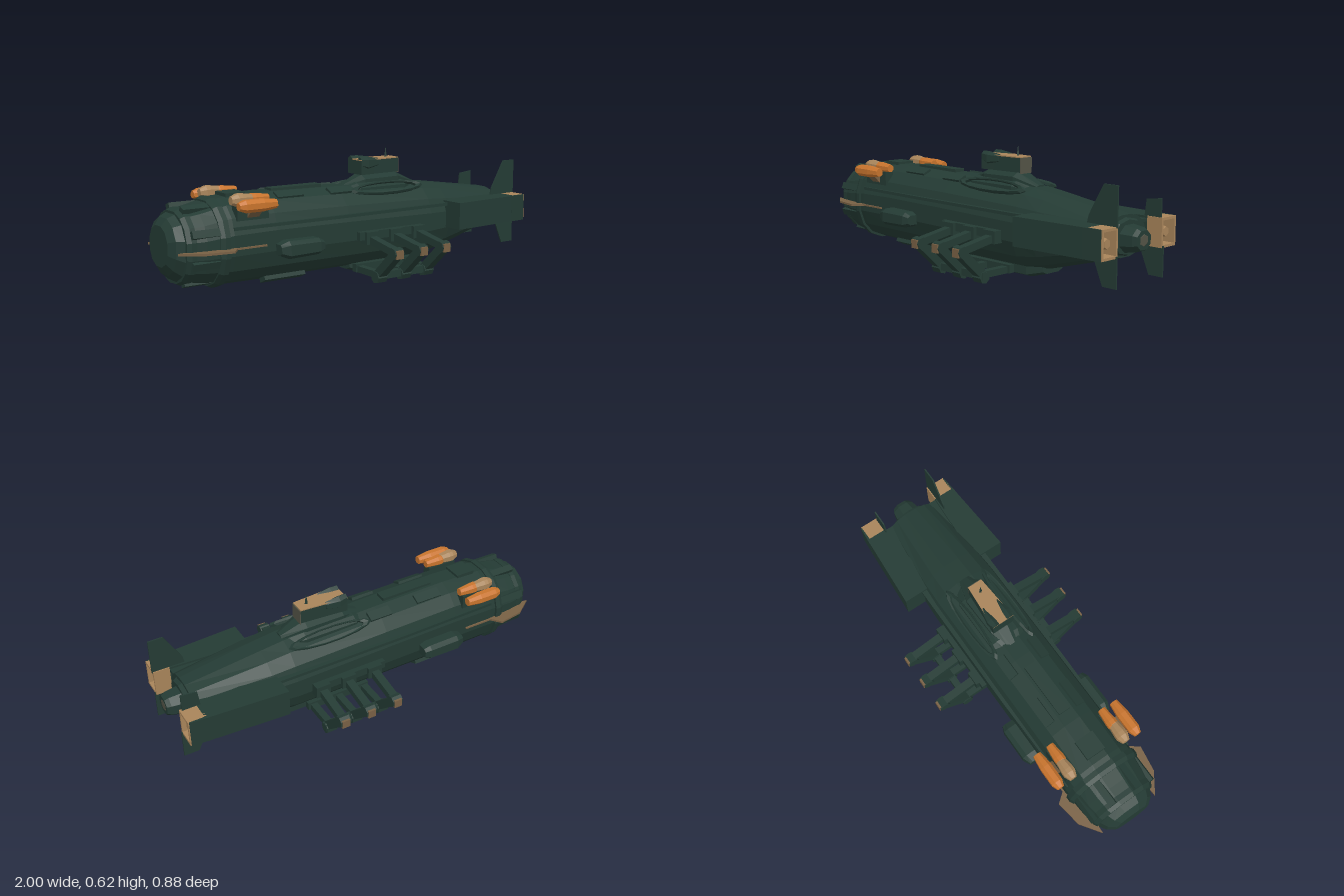
import * as THREE from 'three';

export function createModel() {
  const model = new THREE.Group();
  const mat = (name, color) => Object.assign(
    new THREE.MeshStandardMaterial({ color, flatShading: true, side: THREE.DoubleSide }), { name });
  const green = mat('dark green', 0x243b34);
  const tan = mat('tan', 0xa8845a);
  const brown = mat('brown', 0x786044);
  const orange = mat('orange', 0xc8742d);
  const grey = mat('olive grey', 0x535346);

  const add = (name, geometry, material, x = 0, y = 0, z = 0) => {
    const m = new THREE.Mesh(geometry, material);
    m.name = name;
    m.position.set(x, y, z);
    model.add(m);
    return m;
  };
  const box = (name, material, w, h, d, x, y, z) => add(name, new THREE.BoxGeometry(w, h, d), material, x, y, z);

  // Skin through cross-sections [x, bottom, top, half width, z centre]
  const loft = (sections, n = 16, power = 0.9) => {
    const pos = [], index = [];
    const soft = v => Math.sign(v) * Math.abs(v) ** power;
    for (const [x, lo, hi, w, cz = 0] of sections)
      for (let j = 0; j < n; j++) {
        const a = (j + 0.5) / n * Math.PI * 2;
        pos.push(x, (lo + hi) / 2 + soft(Math.sin(a)) * (hi - lo) / 2, cz + soft(Math.cos(a)) * w);
      }
    const last = sections.length - 1;
    for (let i = 0; i < last; i++)
      for (let j = 0; j < n; j++) {
        const k = (j + 1) % n, a = i * n, b = a + n;
        index.push(a + j, b + j, a + k, b + j, b + k, a + k);
      }
    for (let j = 1; j < n - 1; j++) {
      const e = last * n;
      index.push(0, j, j + 1, e, e + j + 1, e + j);
    }
    const g = new THREE.BufferGeometry();
    g.setAttribute('position', new THREE.Float32BufferAttribute(pos, 3));
    g.setIndex(index);
    const flat = g.toNonIndexed();
    flat.computeVertexNormals();
    return flat;
  };

  // Outline in x,z raised from y0 to y1
  const plan = (points, y0, y1) => {
    const shape = new THREE.Shape(points.map(([x, z]) => new THREE.Vector2(x, -z)));
    return new THREE.ExtrudeGeometry(shape, { depth: y1 - y0, bevelEnabled: false })
      .rotateX(-Math.PI / 2).translate(0, y0, 0);
  };
  // Outline in x,y with thickness in z
  const plate = (points, t) => new THREE.ExtrudeGeometry(
    new THREE.Shape(points.map(p => new THREE.Vector2(...p))), { depth: t, bevelEnabled: false }).translate(0, 0, -t / 2);
  // Square bar between two points
  const beam = (name, material, a, b, w, h) => {
    const p = new THREE.Vector3(...a), q = new THREE.Vector3(...b);
    const m = add(name, new THREE.BoxGeometry(w, h, p.distanceTo(q)), material);
    m.position.copy(p).add(q).multiplyScalar(0.5);
    m.lookAt(q);
    return m;
  };

  // Hull with blunt nose and flattened tail
  add('hull', loft([
    [-0.93, 0.08, 0.41, 0.165], [-0.85, 0.065, 0.425, 0.18], [-0.72, 0.05, 0.455, 0.19], [-0.5, 0.047, 0.462, 0.19],
    [-0.1, 0.047, 0.455, 0.19], [0.4, 0.05, 0.44, 0.19], [0.52, 0.072, 0.425, 0.185], [0.9, 0.18, 0.37, 0.14],
  ]), green);
  add('nose', loft([[-1, 0.16, 0.35, 0.095], [-0.975, 0.12, 0.385, 0.13], [-0.93, 0.08, 0.405, 0.155], [-0.9, 0.08, 0.41, 0.16]], 12), green);
  for (const [x, lo, hi, w] of [[-0.92, 0.07, 0.42, 0.172], [-0.77, 0.04, 0.457, 0.2]])
    add('noseRing', loft([[x - 0.02, lo + 0.01, hi - 0.01, w - 0.01], [x, lo, hi, w], [x + 0.025, lo, hi, w]]), green);
  for (let i = 0; i < 8; i++) {
    const a = (i + 0.5) / 8 * Math.PI * 2;
    const y = 0.25 + Math.sin(a) * 0.18, z = Math.cos(a) * 0.18;
    box('noseRib', green, 0.14, 0.025, 0.035, -0.85, y, z).rotation.x = Math.PI / 2 - a;
  }

  // Tail nozzle
  add('tailCollar', loft([[0.88, 0.18, 0.365, 0.13], [0.92, 0.195, 0.35, 0.1]], 10), green);
  add('tailNozzle', loft([[0.9, 0.2, 0.335, 0.075], [0.98, 0.215, 0.325, 0.06], [1, 0.225, 0.315, 0.05]], 8), green);
  add('nozzleCore', loft([[0.995, 0.235, 0.305, 0.035], [1, 0.245, 0.295, 0.028]], 6), grey).position.x = 0.001;

  // Deck plates
  box('deckPlate', green, 0.28, 0.018, 0.06, -0.3, 0.459, 0);
  box('deckPlate', green, 0.1, 0.02, 0.1, -0.64, 0.458, 0);

  // Sail with stepped base
  add('sailSkirt', loft([[-0.06, 0.38, 0.43, 0.05], [0.03, 0.38, 0.465, 0.1], [0.3, 0.38, 0.465, 0.1], [0.43, 0.38, 0.425, 0.04]], 10), green);
  add('sail', loft([[-0.02, 0.42, 0.45, 0.03], [0.08, 0.42, 0.495, 0.065], [0.28, 0.42, 0.5, 0.07], [0.4, 0.42, 0.445, 0.03]], 8), green);
  box('sailNeck', green, 0.17, 0.04, 0.06, 0.2, 0.505, 0);
  const bridge = [[0.06, -0.058], [0.14, -0.05], [0.3, -0.038], [0.3, 0.038], [0.14, 0.05], [0.06, 0.058]];
  add('bridge', plan(bridge, 0.495, 0.564), green);
  add('bridgeRoof', plan(bridge, 0.564, 0.569), tan);
  box('bridgeRearFace', grey, 0.005, 0.075, 0.075, 0.302, 0.527, 0);
  add('antenna', new THREE.ConeGeometry(0.009, 0.06, 4), green, 0.25, 0.594, 0);

  for (const s of [1, -1]) {
    // Sail side details
    add('bridgeLobe', loft([[0.06, 0.53, 0.582, 0.02, s * 0.04], [0.1, 0.515, 0.582, 0.025, s * 0.042], [0.17, 0.53, 0.572, 0.012, s * 0.04]], 6), green);
    const ring = add('sailWalkway', new THREE.TorusGeometry(0.1, 0.012, 5, 14), green, 0.18, 0.428, s * 0.105);
    ring.rotation.x = Math.PI / 2 + s * 0.7;
    ring.scale.set(2, 0.35, 1);

    // Long side ledge and lower chine
    add('sideLedge', plan([[-0.72, s * 0.15], [-0.72, s * 0.182], [-0.2, s * 0.192], [0.5, s * 0.192], [0.9, s * 0.16], [0.9, s * 0.1], [0.5, s * 0.13]], 0.32, 0.335), green);
    box('sideTrim', brown, 0.2, 0.008, 0.01, -0.66, 0.24, s * 0.19);

    // Nose blade
    add('noseBlade', plan([[-0.98, s * 0.155], [-0.88, s * 0.225], [-0.75, s * 0.245], [-0.7, s * 0.18], [-0.9, s * 0.15]], 0.235, 0.245), brown);

    // Twin shoulder launchers
    const tube = z => (x0, x1, y, r) => loft([
      [x0, y - r * 0.6, y + r * 0.6, r * 0.6, s * z], [x0 + 0.03, y - r, y + r, r, s * z],
      [x1 - 0.07, y - r, y + r, r, s * z], [x1, y - r * 0.7, y + r * 0.7, r * 0.7, s * z]], 8);
    add('outerLauncher', tube(0.222)(-0.72, -0.53, 0.432, 0.03), orange);
    add('innerLauncher', tube(0.152)(-0.72, -0.6, 0.45, 0.032), tan);
    add('innerLauncherTip', tube(0.15)(-0.65, -0.53, 0.448, 0.028), orange);
    beam('launcherArm', brown, [-0.62, 0.37, s * 0.155], [-0.62, 0.432, s * 0.222], 0.06, 0.025);
    box('launcherBase', green, 0.16, 0.07, 0.05, -0.62, 0.395, s * 0.15);

    // Side blister and hull panels
    add('sideBlister', loft([[-0.51, 0.19, 0.24, 0.035, s * 0.205], [-0.47, 0.17, 0.257, 0.052, s * 0.205],
      [-0.31, 0.175, 0.255, 0.052, s * 0.205], [-0.28, 0.19, 0.24, 0.04, s * 0.205]], 8, 0.6), green);
    box('shoulderPanel', green, 0.14, 0.02, 0.05, -0.38, 0.44, s * 0.085).rotation.x = s * 0.45;
    box('shoulderPanel', green, 0.12, 0.02, 0.05, -0.1, 0.435, s * 0.09).rotation.x = s * 0.45;
    box('bellyStrip', green, 0.22, 0.03, 0.05, -0.42, 0.063, s * 0.09).rotation.x = -s * 0.45;

    // Tail engine pod with framed opening
    add('enginePod', plan([[0.5, s * 0.13], [0.5, s * 0.288], [0.9, s * 0.262], [0.9, s * 0.15]], 0.21, 0.345), green);
    add('podOuterRim', plan([[0.88, s * 0.25], [0.88, s * 0.264], [0.975, s * 0.256], [0.975, s * 0.25]], 0.21, 0.345), green);
    const frame = new THREE.Shape([[-0.051, -0.067], [0.051, -0.067], [0.051, 0.067], [-0.051, 0.067]].map(p => new THREE.Vector2(...p)));
    frame.holes.push(new THREE.Path([[-0.04, -0.055], [-0.04, 0.055], [0.04, 0.055], [0.04, -0.055]].map(p => new THREE.Vector2(...p))));
    add('engineFrame', new THREE.ExtrudeGeometry(frame, { depth: 0.09, bevelEnabled: false }).rotateY(Math.PI / 2), tan, 0.89, 0.278, s * 0.202);
    box('engineBack', brown, 0.008, 0.11, 0.08, 0.905, 0.278, s * 0.202);
    add('engineCore', loft([[0.905, 0.245, 0.31, 0.032, s * 0.202], [0.965, 0.255, 0.3, 0.02, s * 0.202]], 6), tan);

    // Tail fins, one of the upper pair is short
    add('upperFin', plate(s > 0 ? [[0.82, 0.34], [0.83, 0.38], [0.91, 0.52], [0.985, 0.52], [0.985, 0.34]]
      : [[0.88, 0.34], [0.89, 0.42], [0.97, 0.43], [0.97, 0.34]], 0.007), green, 0, 0, s * 0.16);
    add('lowerFin', plate([[0.85, 0.22], [0.91, 0.08], [0.985, 0.08], [0.985, 0.22]], 0.007), green, 0, 0, s * 0.16);

    // Folding side legs
    for (const x of [0.005, 0.15, 0.29]) {
      const root = [x, 0.045, s * 0.09], foot = [x, 0.045, s * 0.28];
      const elbow = [x, 0.172, s * 0.418], hip = [x, 0.215, s * 0.17];
      beam('lowerLeg', green, root, foot, 0.035, 0.032);
      beam('middleLeg', green, foot, elbow, 0.045, 0.042);
      beam('upperLeg', green, elbow, hip, 0.04, 0.035);
      add('elbowJoint', new THREE.CylinderGeometry(0.029, 0.029, 0.052, 7).rotateZ(Math.PI / 2), green, x, 0.17, s * 0.41);
      box('elbowCap', brown, 0.04, 0.04, 0.012, x, 0.168, s * 0.434);
      add('footJoint', new THREE.CylinderGeometry(0.03, 0.03, 0.055, 7).rotateZ(Math.PI / 2), green, x, 0.035, s * 0.28);
      box('hipMount', green, 0.075, 0.06, 0.05, x, 0.215, s * 0.205);
    }
    box('footRail', green, 0.34, 0.035, 0.035, 0.15, 0.042, s * 0.28);
    box('hipRail', green, 0.38, 0.04, 0.035, 0.13, 0.225, s * 0.195);
    box('keelSide', green, 0.34, 0.04, 0.03, 0.15, 0.05, s * 0.11);
  }

  // Keel under the hull
  add('keel', loft([[-0.02, 0.03, 0.09, 0.07], [0.04, 0.014, 0.09, 0.1], [0.4, 0.018, 0.09, 0.1], [0.48, 0.04, 0.1, 0.07]], 8, 0.6), green);
  box('keelPlate', green, 0.14, 0.02, 0.07, 0.14, 0.01, 0);
  return model;
}
